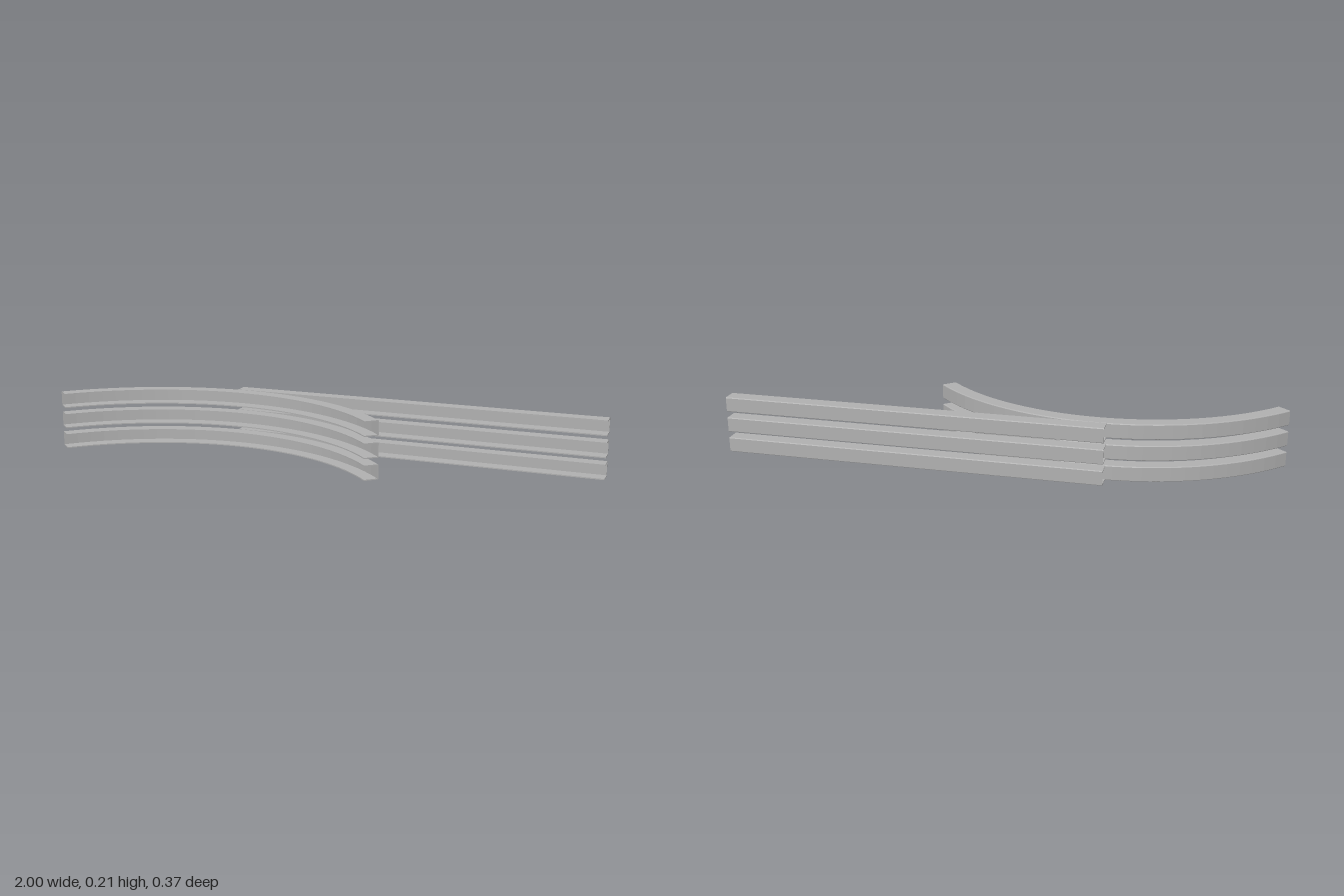
import * as THREE from 'three';

const HEIGHT = 0.055, WIDTH = 0.054, WALL = 0.004, PITCH = 0.078;

// C-channel section: web at x = 0, flanges reaching to x = WIDTH
function channelSection() {
  const c = 0.003, w = WALL;
  return new THREE.Shape([
    [c, 0], [WIDTH, 0], [WIDTH, w], [w, w],
    [w, HEIGHT - w], [WIDTH, HEIGHT - w], [WIDTH, HEIGHT],
    [c, HEIGHT], [0.001, HEIGHT - 0.001], [0, HEIGHT - c], [0, c], [0.001, 0.001],
  ].map(([x, y]) => new THREE.Vector2(x, y)));
}

// Extrude the section, then place each vertex: place(u across, t along 0..1) -> [x, z]
function sweepChannel(steps, place) {
  const geo = new THREE.ExtrudeGeometry(channelSection(), { depth: 1, steps, bevelEnabled: false });
  const pos = geo.attributes.position;
  for (let i = 0; i < pos.count; i++) {
    const [x, z] = place(pos.getX(i), pos.getZ(i));
    pos.setXYZ(i, x, pos.getY(i), z);
  }
  geo.computeVertexNormals();
  return geo;
}

export function createModel() {
  const model = new THREE.Group();
  model.name = 'channelRails';
  const steel = new THREE.MeshStandardMaterial({ color: 0xb0b0b0 });
  steel.name = 'steelGrey';

  // Straight channel, open towards the front
  const straight = sweepChannel(1, (u, t) => [1 - 1.39 * t, -0.187 + u]);

  // Curved channel, web on the convex side, open towards the arc's centre
  const radius = 0.868, half = THREE.MathUtils.degToRad(47.2);
  const cx = -0.363, cz = -0.133 + radius;
  const curved = sweepChannel(28, (u, t) => {
    const a = half * (1 - 2 * t), r = radius - u;
    return [cx + r * Math.sin(a), cz - r * Math.cos(a)];
  });

  // Three stacked levels
  for (let level = 0; level < 3; level++) {
    for (const [name, geo] of [['straightRail', straight], ['curvedRail', curved]]) {
      const rail = new THREE.Mesh(geo, steel);
      rail.name = name + (level + 1);
      rail.position.y = level * PITCH;
      model.add(rail);
    }
  }
  return model;
}
